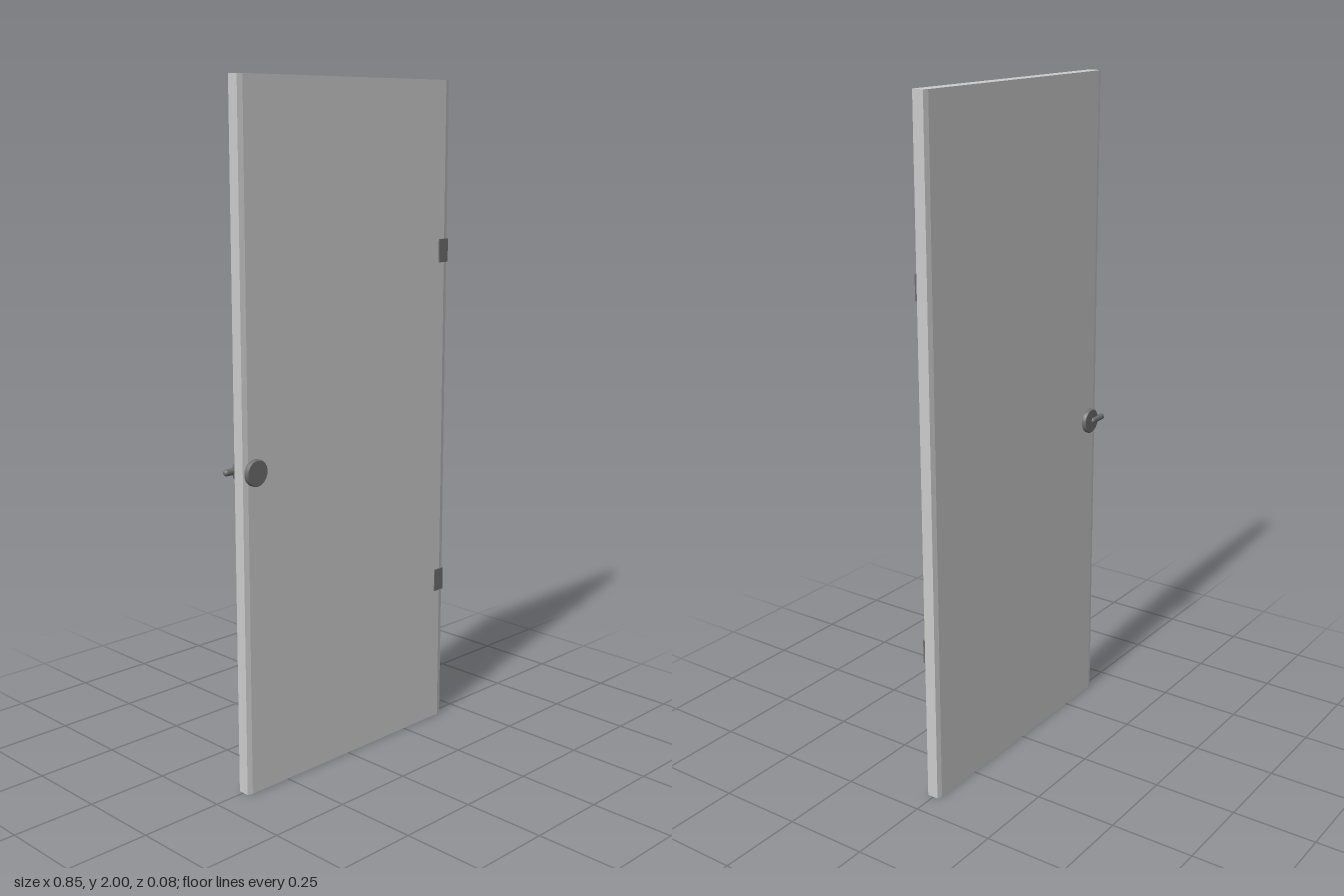
import * as THREE from 'three';

export function createModel() {
  const model = new THREE.Group();
  const panelMat = new THREE.MeshStandardMaterial({ color: 0xcccccc });
  const metalMat = new THREE.MeshStandardMaterial({ color: 0x6e6e6e });

  const add = (name, geometry, material, x, y, z) => {
    const mesh = new THREE.Mesh(geometry, material);
    mesh.name = name;
    mesh.position.set(x, y, z);
    model.add(mesh);
    return mesh;
  };

  // Door leaf: plan outline with shallow chamfers down the long edges, extruded upwards
  const left = -0.402, right = 0.425, back = -0.019, front = 0.023;
  const cx = 0.016, cz = 0.004;
  const plan = new THREE.Shape([
    [left + cx, -front], [right - cx, -front], [right, -front + cz], [right, -back - cz],
    [right - cx, -back], [left + cx, -back], [left, -back - cz], [left, -front + cz],
  ].map(([x, y]) => new THREE.Vector2(x, y)));
  const leaf = new THREE.ExtrudeGeometry(plan, { depth: 2, bevelEnabled: false });
  leaf.rotateX(-Math.PI / 2);
  add('doorPanel', leaf, panelMat, 0, 0, 0);

  // Round rose with a softened rim, axis along z
  const rose = (depth) => {
    const r = 0.038, b = 0.003;
    const profile = [[0, 0], [r, 0], [r, 0], [r, depth - b], [r - b, depth], [r - b, depth], [0, depth]];
    return new THREE.LatheGeometry(profile.map(([x, y]) => new THREE.Vector2(x, y)), 32).rotateX(Math.PI / 2);
  };
  const knobX = -0.362, knobY = 0.942;
  add('frontKnob', rose(0.013), metalMat, knobX, knobY, front);
  const backRose = add('backRose', rose(0.012), metalMat, knobX, knobY, back);
  backRose.rotation.y = Math.PI;

  // Latch lever reaching past the free edge
  const lever = new THREE.CapsuleGeometry(0.0095, 0.049, 6, 16, 1).rotateZ(Math.PI / 2);
  add('latchLever', lever, metalMat, -0.394, knobY, -0.0295);

  // Hinge plates on the front face
  for (const y of [0.46, 1.5]) {
    add('hingePlate', new THREE.BoxGeometry(0.038, 0.07, 0.01), metalMat, 0.404, y, 0.0215);
  }
  return model;
}
